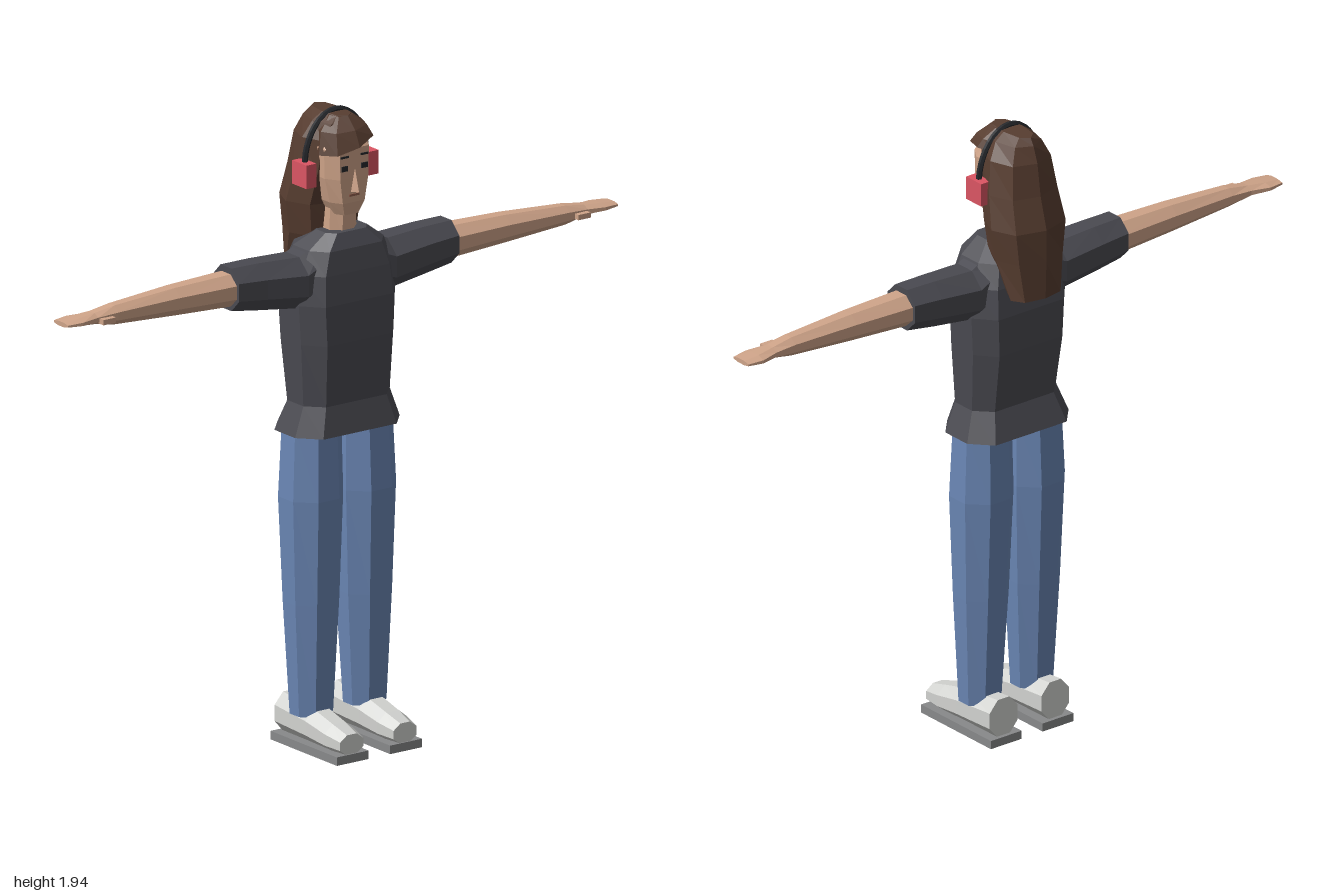
import * as THREE from 'three';

const mat = (name, color) => {
  const m = new THREE.MeshStandardMaterial({ color, flatShading: true });
  m.name = name;
  return m;
};

// Eight-sided cross-sections: bevelled rectangle, or corner-forward octagon
const bevel = (a, b) => [[1, b], [a, 1], [-a, 1], [-1, b], [-1, -b], [-a, -1], [a, -1], [1, -b]];
const OCT = bevel(0.414, 0.414);
const POINTED = [[1, 0], [0.74, 0.74], [0, 1], [-0.74, 0.74], [-1, 0], [-0.74, -0.74], [0, -1], [0.74, -0.74]];

// Closed loft along an axis; ring = [position, centreU, centreV, radiusU, radiusV, slope]
function loft(axis, rings, section = OCT) {
  const place = {
    x: (s, u, v) => new THREE.Vector3(s, u, v),
    y: (s, u, v) => new THREE.Vector3(u, s, v),
    z: (s, u, v) => new THREE.Vector3(u, v, s),
  }[axis];
  const pts = rings.map(([s, cu, cv, ru, rv, slope = 0]) =>
    section.map(([a, b]) => place(s + slope * a * ru, cu + a * ru, cv + b * rv)));
  const n = section.length;
  const tris = [];
  for (let i = 0; i < pts.length - 1; i++) {
    for (let j = 0; j < n; j++) {
      const k = (j + 1) % n;
      const [a, b, c, d] = [pts[i][j], pts[i][k], pts[i + 1][k], pts[i + 1][j]];
      tris.push([a, b, c], [a, c, d]);
    }
  }
  const last = pts[pts.length - 1];
  for (let j = 1; j < n - 1; j++) {
    tris.push([pts[0][0], pts[0][j + 1], pts[0][j]], [last[0], last[j], last[j + 1]]);
  }
  // Turn all faces outward
  const volume = tris.reduce((t, [a, b, c]) => t + a.dot(b.clone().cross(c)), 0);
  const flat = tris.flatMap(([a, b, c]) => (volume < 0 ? [a, c, b] : [a, b, c]));
  const g = new THREE.BufferGeometry().setFromPoints(flat);
  g.computeVertexNormals();
  return g;
}

export function createModel() {
  const root = new THREE.Group();
  root.name = 'figure';
  const skin = mat('skin', 0xcfa489);
  const shirt = mat('shirt', 0x4a4a51);
  const denim = mat('denim', 0x6a86b4);
  const hairMat = mat('hair', 0x573d30);
  const red = mat('earCupRed', 0xdb5563);
  const black = mat('black', 0x25272b);
  const shoeMat = mat('shoe', 0xd2d3d0);
  const soleMat = mat('sole', 0x88898a);
  const lip = mat('lip', 0x93614f);

  const add = (name, geo, material, x = 0, y = 0, z = 0) => {
    const m = new THREE.Mesh(geo, material);
    m.name = name;
    m.position.set(x, y, z);
    root.add(m);
    return m;
  };
  const box = (w, h, d) => new THREE.BoxGeometry(w, h, d);

  // Shirt body
  add('shirtBody', loft('y', [
    [0.97, 0, -0.01, 0.19, 0.113],
    [1.06, 0, -0.003, 0.157, 0.088],
    [1.25, 0, -0.01, 0.168, 0.112],
    [1.37, 0, -0.012, 0.175, 0.112],
    [1.46, 0, -0.01, 0.165, 0.102],
    [1.53, 0, -0.005, 0.135, 0.088],
    [1.575, 0, 0.012, 0.075, 0.05],
  ], bevel(0.7, 0.45)), shirt);

  // Neck and head
  add('neck', loft('y', [
    [1.54, 0, 0, 0.05, 0.045],
    [1.69, 0, 0, 0.045, 0.045],
  ]), skin);
  add('head', loft('y', [
    [1.625, 0, 0.015, 0.038, 0.045],
    [1.665, 0, 0.005, 0.06, 0.067],
    [1.74, 0, 0, 0.077, 0.075],
    [1.83, 0, 0, 0.08, 0.075],
    [1.89, 0, -0.01, 0.055, 0.05],
  ], bevel(0.66, 0.45)), skin);
  const nose = add('nose', new THREE.ConeGeometry(0.02, 0.07, 4), skin, 0, 1.735, 0.078);
  nose.scale.x = 0.7;
  add('mouth', box(0.036, 0.007, 0.008), lip, 0, 1.688, 0.072);

  // Hair: long mass behind the face, and a side-swept fringe
  add('longHair', loft('y', [
    [1.43, 0, -0.14, 0.09, 0.05],
    [1.55, 0, -0.097, 0.11, 0.097],
    [1.65, 0, -0.093, 0.125, 0.102],
    [1.75, 0, -0.067, 0.113, 0.1],
    [1.85, 0, -0.052, 0.096, 0.1],
    [1.9, 0, -0.04, 0.067, 0.094],
    [1.922, 0, -0.038, 0.035, 0.083],
  ], POINTED), hairMat);
  add('fringe', loft('y', [
    [1.838, 0, 0.02, 0.088, 0.082, 0.32],
    [1.885, 0, 0.01, 0.074, 0.07, 0.1],
    [1.92, 0, 0, 0.035, 0.045],
  ], POINTED), hairMat);

  // Headphone band
  const arc = [];
  for (let i = 0; i <= 14; i++) {
    const t = (i / 14) * Math.PI;
    arc.push(new THREE.Vector3(0.112 * Math.cos(t), 1.77 + 0.158 * Math.sin(t), -0.018));
  }
  add('headphoneBand', new THREE.TubeGeometry(new THREE.CatmullRomCurve3(arc), 20, 0.009, 6), black);

  // Parts on both sides
  for (const s of [1, -1]) {
    const side = s > 0 ? 'left' : 'right';

    add(side + 'EarCup', box(0.036, 0.072, 0.07), red, s * 0.113, 1.75, -0.018);
    add(side + 'Eye', box(0.022, 0.016, 0.008), black, s * 0.036, 1.773, 0.074);
    add(side + 'Brow', box(0.028, 0.006, 0.008), black, s * 0.036, 1.808, 0.074);

    // Arm
    add(side + 'Sleeve', loft('x', [
      [s * 0.06, 1.47, -0.01, 0.09, 0.07],
      [s * 0.16, 1.435, -0.012, 0.078, 0.08],
      [s * 0.3, 1.447, -0.015, 0.072, 0.07],
      [s * 0.4, 1.455, -0.015, 0.065, 0.065],
    ]), shirt);
    add(side + 'Arm', loft('x', [
      [s * 0.38, 1.452, -0.015, 0.05, 0.055],
      [s * 0.6, 1.455, -0.013, 0.042, 0.045],
      [s * 0.82, 1.455, -0.01, 0.029, 0.034],
      [s * 0.89, 1.456, -0.012, 0.017, 0.032],
      [s * 0.95, 1.456, -0.015, 0.012, 0.043],
      [s * 1.0, 1.456, -0.015, 0.007, 0.035],
    ]), skin);
    add(side + 'Thumb', box(0.045, 0.016, 0.032), skin, s * 0.863, 1.452, 0.024);

    // Leg
    add(side + 'TrouserLeg', loft('y', [
      [0.105, s * 0.097, -0.005, 0.062, 0.056],
      [0.45, s * 0.096, -0.008, 0.08, 0.075],
      [0.77, s * 0.096, -0.01, 0.091, 0.09],
      [0.99, s * 0.093, -0.01, 0.084, 0.08],
    ]), denim);

    // Shoe
    add(side + 'Shoe', loft('z', [
      [-0.115, s * 0.097, 0.083, 0.052, 0.06],
      [0.04, s * 0.097, 0.075, 0.055, 0.052],
      [0.13, s * 0.097, 0.062, 0.053, 0.042],
      [0.193, s * 0.097, 0.054, 0.042, 0.031],
    ]), shoeMat);
    add(side + 'Sole', box(0.115, 0.026, 0.325), soleMat, s * 0.097, 0.013, 0.035);
  }
  return root;
}
